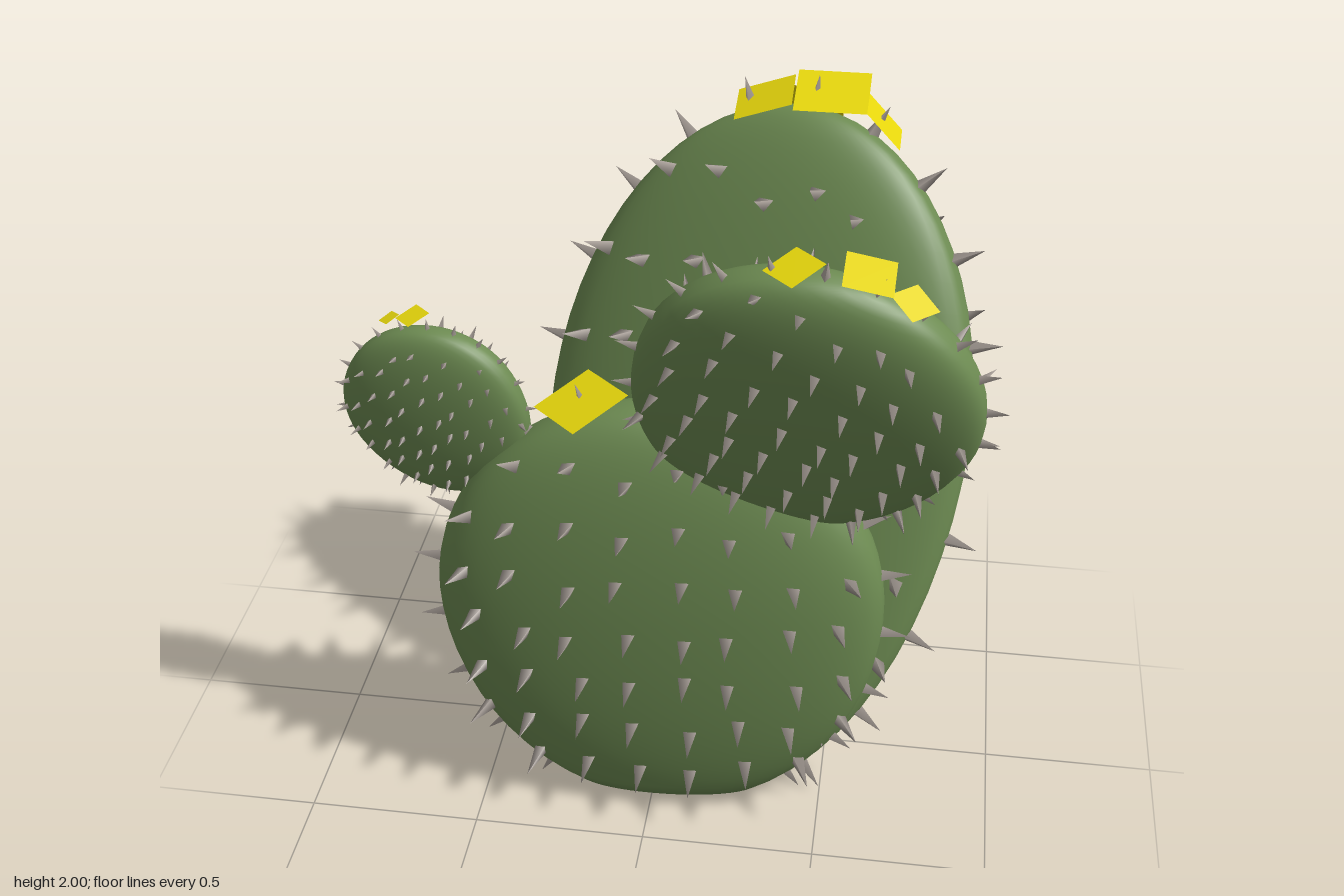
import * as THREE from 'three';
import { mergeGeometries, mergeVertices } from 'three/addons/utils/BufferGeometryUtils.js';

const green = new THREE.MeshStandardMaterial({ color: 0x6d8b52 });
green.name = 'cactus green';
const grey = new THREE.MeshStandardMaterial({ color: 0xa69d96 });
grey.name = 'spine grey';
const yellow = new THREE.MeshStandardMaterial({ color: 0xe6d60c, side: THREE.DoubleSide });
yellow.name = 'flower yellow';

const UP = new THREE.Vector3(0, 1, 0);
const BASE = -0.9;   // height of the flat base on the unit pad
const BLUNT = 0.75;  // below 1 gives flatter faces and a fuller rim

// maps a unit sphere height to the pad: egg-like, longer below the middle
const semi = (b, h) => (b < 0 ? 0.578 * h : 0.48 * h);
const padY = (b, h) => 0.52 * h + b * semi(b, h);

// flattened fleshy body with a cut base at y = 0
function padGeometry(w, h, d) {
  const a0 = Math.asin(BASE);
  const points = [new THREE.Vector2(0, BASE)];
  for (let i = 0; i <= 26; i++) {
    const a = a0 + (Math.PI / 2 - a0) * i / 26;
    points.push(new THREE.Vector2(i === 26 ? 0 : Math.cos(a), Math.sin(a)));
  }
  let geo = new THREE.LatheGeometry(points, 48);
  const p = geo.attributes.position;
  for (let i = 0; i < p.count; i++) {
    const z = p.getZ(i);
    p.setXYZ(i, p.getX(i) * w, padY(p.getY(i), h), Math.sign(z) * Math.abs(z) ** BLUNT * d);
  }
  geo.deleteAttribute('uv');
  geo.deleteAttribute('normal');
  geo = mergeVertices(geo, 1e-5);
  geo.computeVertexNormals();
  return geo;
}

// three-sided spines on the pad surface: a loose grid on both faces and a ring on the rim
function spineGeometry(w, h, d, length) {
  const cones = [];
  let seed = 7;
  const jitter = () => {
    seed = (seed * 16807) % 2147483647;
    return (seed / 2147483647 - 0.5) * 0.07;
  };
  const add = (a, b, side, len) => {
    const q = Math.sqrt(Math.max(0, 1 - a * a - b * b));
    const z = q ** BLUNT;
    const n = new THREE.Vector3(
      2 * a / w, 2 * b / semi(b, h), side * (2 / BLUNT) * z ** (2 / BLUNT - 1) / d).normalize();
    const m = new THREE.Matrix4().compose(
      new THREE.Vector3(a * w, padY(b, h), side * z * d).addScaledVector(n, len * 0.42),
      new THREE.Quaternion().setFromUnitVectors(UP, n), new THREE.Vector3(1, 1, 1));
    cones.push(new THREE.ConeGeometry(len * 0.24, len, 3).applyMatrix4(m));
  };
  for (let r = 0; r < 7; r++) {
    const f = r * 0.128 - 0.41;
    for (let c = 0; c < 8; c++) {
      for (const side of [1, -1]) {
        const a = -0.82 + c * 0.235 + jitter(), b = f / (f < 0 ? 0.578 : 0.48) + jitter();
        if (Math.hypot(a, b) < 0.95) add(a, b, side, length);
      }
    }
  }
  for (let i = 0; i < 22; i++) {
    const t = (i + 0.5) / 22 * Math.PI * 2;
    if (Math.sin(t) > -0.86) add(Math.cos(t), Math.sin(t), 0, length * 0.88);
  }
  return mergeGeometries(cones);
}

// base: root of the pad, grow: vector from root to tip, yaw: forward slope of its right edge
function pad({ name, base, grow, yaw, w, d, spine }) {
  const g = new THREE.Group();
  g.name = name;
  const y = new THREE.Vector3(...grow);
  const h = y.length();
  y.normalize();
  const x = new THREE.Vector3(1, 0, yaw);
  x.addScaledVector(y, -x.dot(y)).normalize();
  const z = new THREE.Vector3().crossVectors(x, y);
  g.quaternion.setFromRotationMatrix(new THREE.Matrix4().makeBasis(x, y, z));
  g.position.set(...base);
  const body = new THREE.Mesh(padGeometry(w, h, d), green);
  body.name = name + 'Body';
  const spines = new THREE.Mesh(spineGeometry(w, h, d, spine), grey);
  spines.name = name + 'Spines';
  g.add(body, spines);
  return g;
}

// square petal plate facing along a normal
function flower(pos, size, spin, normal) {
  const geo = new THREE.PlaneGeometry(size, size).rotateX(-Math.PI / 2).rotateY(spin);
  const m = new THREE.Mesh(geo, yellow);
  m.name = 'flower';
  m.position.set(...pos);
  m.quaternion.setFromUnitVectors(UP, new THREE.Vector3(...normal).normalize());
  return m;
}

export function createModel() {
  const model = new THREE.Group();
  model.name = 'pricklyCactus';

  const pads = [
    { name: 'frontPad', base: [0.045, 0.06, 0.26], grow: [-0.06, 1.28, -0.06], yaw: 0.0, w: 0.64, d: 0.185, spine: 0.1 },
    { name: 'backPad', base: [0.1, 0.05, 0.135], grow: [0.25, 1.88, -0.61], yaw: 0.25, w: 0.635, d: 0.155, spine: 0.11 },
    { name: 'upperLeftPad', base: [0.25, 1.11, 0.23], grow: [0.33, 0.78, 0.27], yaw: 0.07, w: 0.455, d: 0.13, spine: 0.07 },
    { name: 'smallRightPad', base: [-0.475, 1.045, 0.17], grow: [-0.28, 0.44, 0.02], yaw: 0.07, w: 0.26, d: 0.08, spine: 0.04 },
  ];
  pads.forEach((p) => model.add(pad(p)));

  const D = Math.PI / 4;
  const flowers = [
    // back pad
    [[0.21, 1.94, -0.5], 0.17, 0, [-0.35, 1, 0.12]],
    [[0.4, 1.975, -0.48], 0.205, 0, [0, 1, 0.18]],
    [[0.35, 1.89, -0.57], 0.155, 0, [0, 0.4, -1]],
    [[0.55, 1.92, -0.42], 0.14, 0, [0.75, 0.7, 0]],
    // upper pad
    [[0.38, 1.945, 0.5], 0.11, D, [-0.2, 1, 0.2]],
    [[0.56, 1.945, 0.51], 0.125, 0, [0.2, 1, 0.25]],
    [[0.67, 1.89, 0.535], 0.09, D, [0.35, 1, 0.3]],
    // front pad
    [[-0.2, 1.345, 0.22], 0.19, D, [-0.24, 1, 0.16]],
    // small pad
    [[-0.66, 1.55, 0.18], 0.07, D, [-0.25, 1, 0.15]],
    [[-0.73, 1.53, 0.165], 0.045, D, [-0.4, 1, 0.1]],
  ];
  flowers.forEach((f) => model.add(flower(...f)));
  return model;
}
